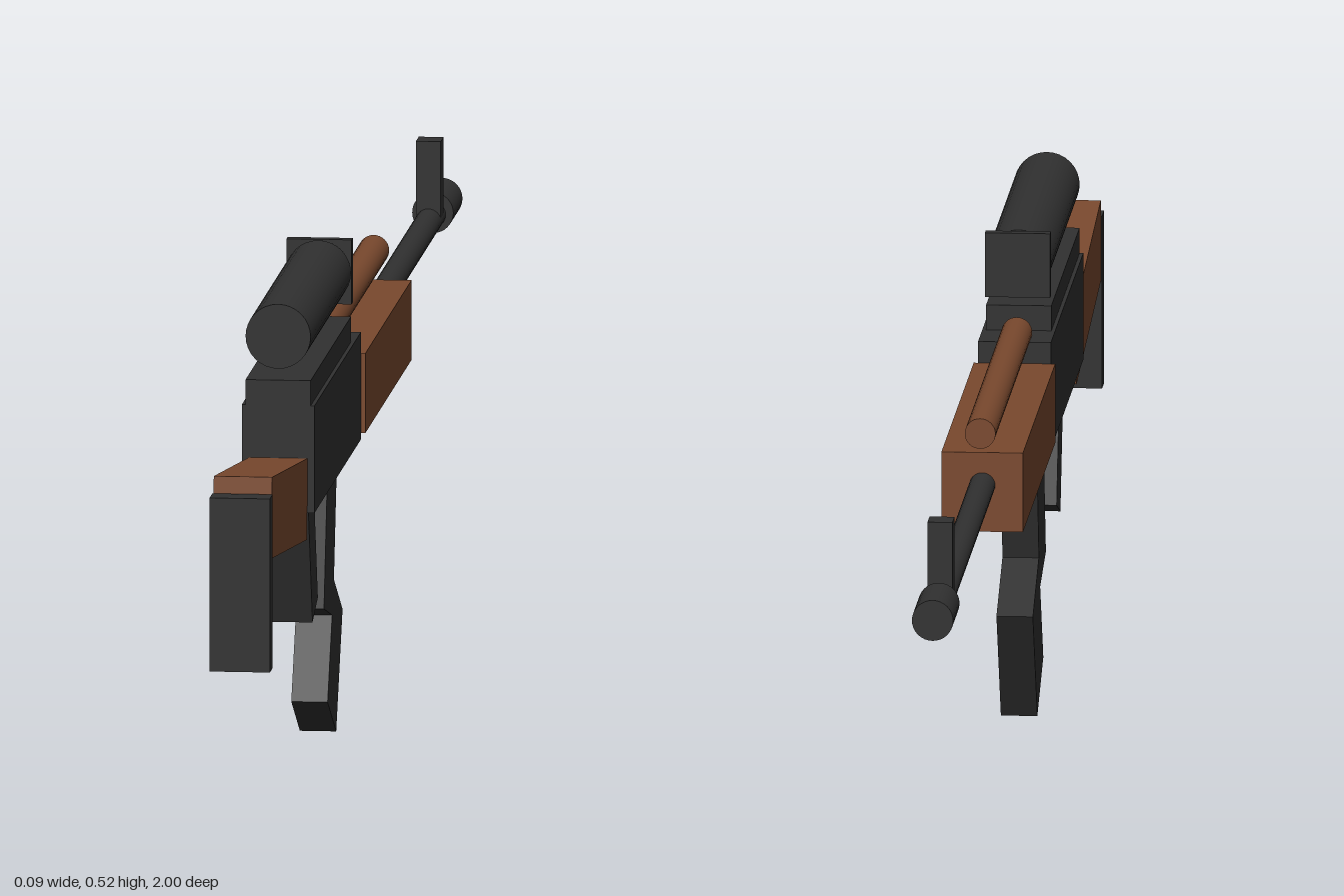
import * as THREE from 'three';

export function createModel() {
  const model = new THREE.Group();
  model.name = 'scopedRifle';

  const metal = new THREE.MeshStandardMaterial({ color: 0x313131 });
  metal.name = 'darkMetal';
  const wood = new THREE.MeshStandardMaterial({ color: 0x7a492e });
  wood.name = 'brownWood';

  function add(name, geometry, material, y, z, tilt = 0) {
    const mesh = new THREE.Mesh(geometry, material);
    mesh.name = name;
    mesh.position.set(0, y, z);
    mesh.rotation.x = THREE.MathUtils.degToRad(tilt);
    model.add(mesh);
  }
  // box given by width, height, depth, centre and tilt about x
  const box = (name, material, w, h, d, y, z, tilt) =>
    add(name, new THREE.BoxGeometry(w, h, d), material, y, z, tilt);
  // round bar along z between two ends
  const bar = (name, material, r, y, z0, z1) =>
    add(name, new THREE.CylinderGeometry(r, r, z1 - z0, 32).rotateX(Math.PI / 2), material, y, (z0 + z1) / 2);

  // receiver and its narrower top cover
  box('receiver', metal, 0.076, 0.113, 0.46, 0.355, 0.39);
  box('topCover', metal, 0.068, 0.06, 0.4, 0.408, 0.42);

  // scope and the square plate ahead of it
  bar('scope', metal, 0.034, 0.484, 0.221, 0.62);
  box('scopePlate', metal, 0.068, 0.068, 0.012, 0.484, 0.209);

  // stock and butt plate
  box('stock', wood, 0.061, 0.085, 0.355, 0.333, 0.796, -6.4);
  box('buttPlate', metal, 0.063, 0.183, 0.028, 0.286, 0.986);

  // grip and two-piece bent magazine
  box('grip', metal, 0.046, 0.2, 0.056, 0.266, 0.502, 18);
  box('upperMagazine', metal, 0.038, 0.145, 0.092, 0.21, 0.284, -14);
  box('lowerMagazine', metal, 0.038, 0.134, 0.096, 0.083, 0.236, -28);

  // handguard and gas tube
  box('handguard', wood, 0.085, 0.084, 0.457, 0.347, -0.069);
  bar('gasTube', wood, 0.016, 0.415, -0.327, 0.193);

  // barrel, muzzle and front sight
  bar('barrel', metal, 0.0135, 0.354, -0.95, 0.1);
  bar('muzzle', metal, 0.0215, 0.356, -1, -0.91);
  box('frontSight', metal, 0.026, 0.085, 0.029, 0.396, -0.88);

  return model;
}
